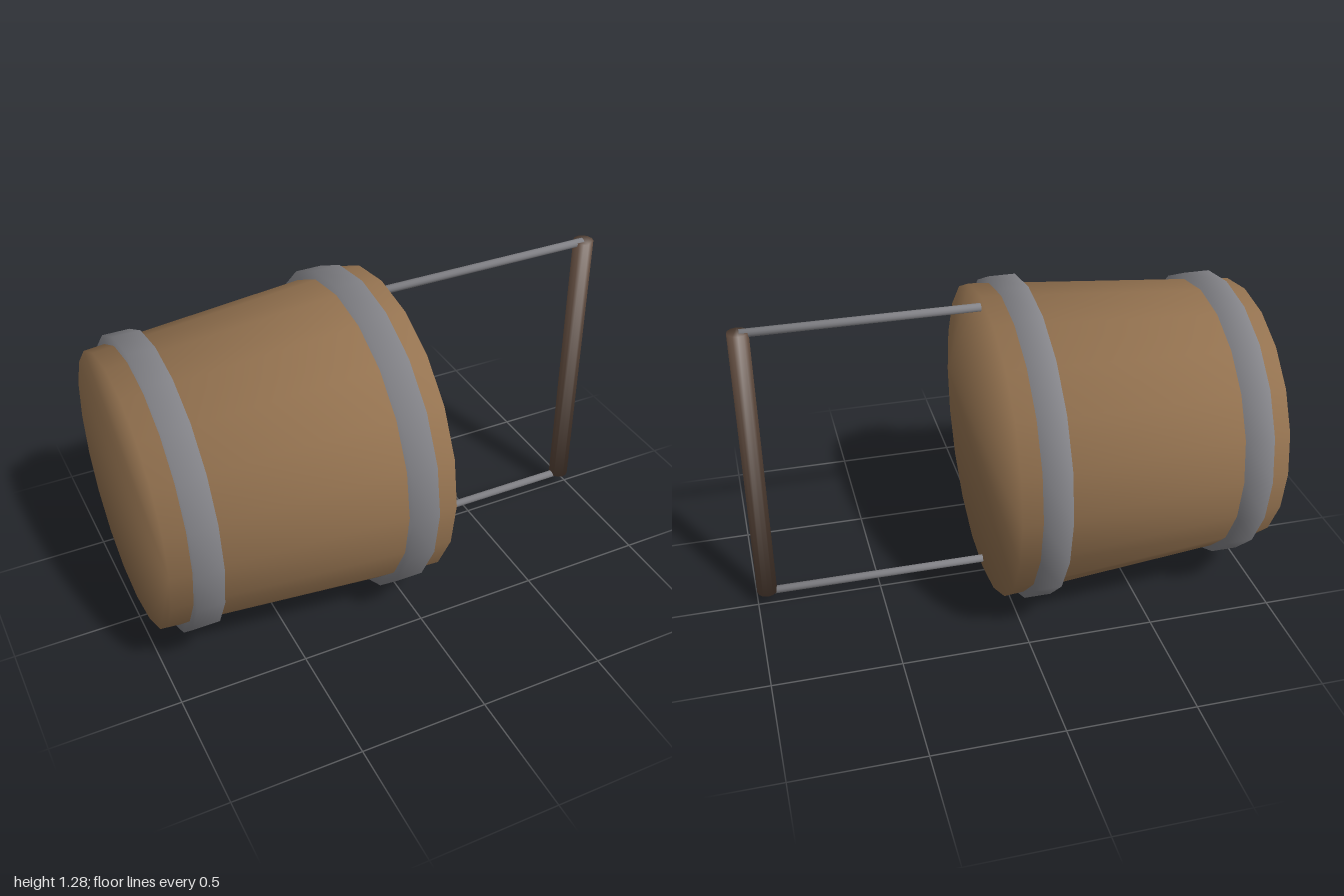
import * as THREE from 'three';

const wood = new THREE.MeshStandardMaterial({ color: 0x9b7854 });
const metal = new THREE.MeshStandardMaterial({ color: 0x88888d });
const darkWood = new THREE.MeshStandardMaterial({ color: 0x5f4a3d });
wood.name = 'wood';
metal.name = 'metal';
darkWood.name = 'dark wood';

// Closed drum along y, its caps sharing smooth normals with its wall.
// tilt0 and tilt1 are the axial parts of the normals at each end.
function drum(r0, r1, length, sides, tilt0 = 0.9, tilt1 = 0.9) {
  const pos = [], nor = [], idx = [];
  const n = new THREE.Vector3();
  for (const [r, y, tilt] of [[r0, -length / 2, -tilt0], [r1, length / 2, tilt1]]) {
    for (let i = 0; i < sides; i++) {
      const a = (i / sides) * Math.PI * 2;
      pos.push(r * Math.sin(a), y, r * Math.cos(a));
      n.set(Math.sin(a), tilt, Math.cos(a)).normalize();
      nor.push(n.x, n.y, n.z);
    }
  }
  for (let i = 0; i < sides; i++) {
    const j = (i + 1) % sides;
    idx.push(i, j, sides + j, i, sides + j, sides + i);
    if (i > 0 && j > 0) idx.push(0, j, i, sides, sides + i, sides + j);
  }
  const g = new THREE.BufferGeometry();
  g.setAttribute('position', new THREE.Float32BufferAttribute(pos, 3));
  g.setAttribute('normal', new THREE.Float32BufferAttribute(nor, 3));
  g.setIndex(idx);
  return g;
}

export function createModel() {
  const group = new THREE.Group();
  const add = (name, geometry, material, x, y) => {
    const mesh = new THREE.Mesh(geometry, material);
    mesh.name = name;
    mesh.position.set(x, y, 0);
    group.add(mesh);
  };
  const lying = (g) => g.rotateZ(-Math.PI / 2);
  const mid = 0.64;

  // Tapered body lying on its side, wide end towards +x
  add('body', lying(drum(0.533, 0.621, 1.065, 20, 1.07, 0.75)), wood, -0.4675, mid);

  // Metal hoops
  add('narrowHoop', lying(drum(0.573, 0.573, 0.105, 20)), metal, -0.867, mid);
  add('wideHoop', lying(drum(0.64, 0.64, 0.105, 20)), metal, -0.067, mid);

  // Handle rods and grip
  for (const [name, s] of [['upperRod', 1], ['lowerRod', -1]]) {
    add(name, lying(drum(0.016, 0.016, 0.9, 12)), metal, 0.505, mid + s * 0.578);
  }
  add('grip', drum(0.04, 0.04, 1.162, 12), darkWood, 0.96, mid + 0.003);

  return group;
}
